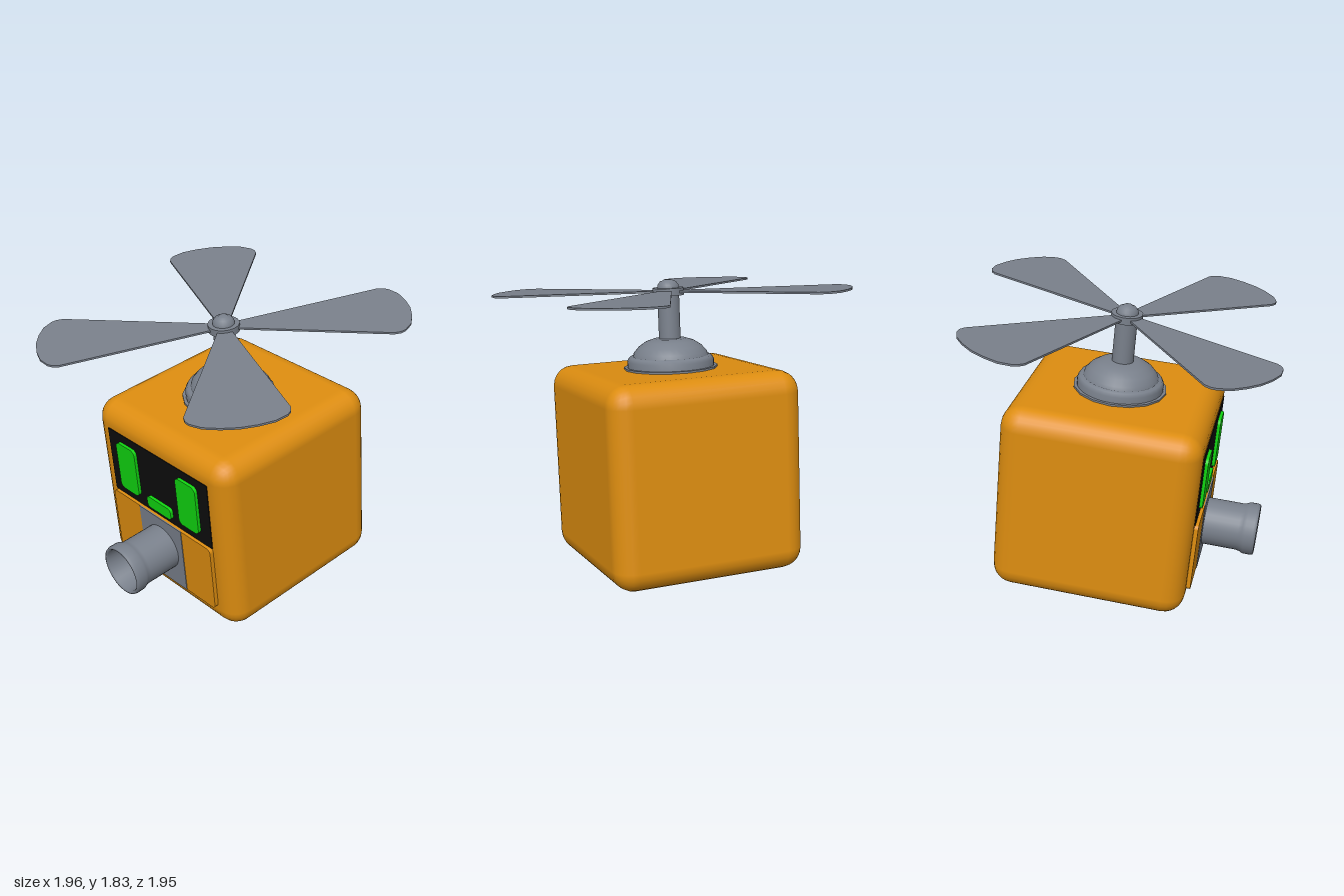
import * as THREE from 'three';
import { RoundedBoxGeometry } from 'three/addons/geometries/RoundedBoxGeometry.js';

const material = (name, color) => {
  const m = new THREE.MeshStandardMaterial({ color });
  m.name = name;
  return m;
};

export function createModel() {
  const orange = material('orange', 0xdd8d10);
  const grey = material('grey', 0x79808b);
  const black = material('black', 0x0d0d0d);
  const green = material('green', 0x10d510);

  const model = new THREE.Group();
  model.name = 'flyingRobot';
  // everything leans forward around the centre of the body
  const lean = new THREE.Group();
  lean.name = 'leaningBody';
  lean.position.set(-0.012, 0.66, -0.105);
  lean.rotation.x = 0.095;
  model.add(lean);

  const add = (name, geometry, mat, parent = lean) => {
    const mesh = new THREE.Mesh(geometry, mat);
    mesh.name = name;
    parent.add(mesh);
    return mesh;
  };

  // rounded plate facing +z, from depth z0 to z1
  const plate = (name, cx, cy, w, h, r, z0, z1, mat) => {
    const x = w / 2, y = h / 2, s = new THREE.Shape();
    s.moveTo(-x + r, -y);
    s.lineTo(x - r, -y);
    s.absarc(x - r, -y + r, r, -Math.PI / 2, 0);
    s.absarc(x - r, y - r, r, 0, Math.PI / 2);
    s.absarc(-x + r, y - r, r, Math.PI / 2, Math.PI);
    s.absarc(-x + r, -y + r, r, Math.PI, Math.PI * 1.5);
    const g = new THREE.ExtrudeGeometry(s, { depth: z1 - z0, bevelEnabled: false, curveSegments: 5 });
    g.translate(cx, cy, z0);
    return add(name, g, mat);
  };

  const lathe = (points, segments) =>
    new THREE.LatheGeometry(points.map(([r, y]) => new THREE.Vector2(r, y)), segments);

  // body
  add('body', new RoundedBoxGeometry(1.22, 1.22, 1.22, 3, 0.13), orange);
  const hatch = add('bottomHatch', new THREE.BoxGeometry(0.55, 0.016, 0.55), orange);
  hatch.position.y = -0.61;

  // face screen
  plate('screen', 0, 0.23, 0.925, 0.46, 0.004, 0.606, 0.615, black);
  for (const side of [-1, 1]) {
    plate(side > 0 ? 'leftEye' : 'rightEye', side * 0.282, 0.235, 0.18, 0.34, 0.035, 0.614, 0.635, green);
  }
  plate('mouth', 0, 0.08, 0.225, 0.08, 0.025, 0.614, 0.635, green);

  // lower front panel with the nozzle plate
  plate('frontPanel', 0, -0.23, 0.925, 0.46, 0.03, 0.6, 0.636, orange);
  plate('nozzlePlate', 0, -0.23, 0.396, 0.46, 0.002, 0.632, 0.64, grey);

  // hollow nozzle
  const nozzle = lathe([
    [0.15, 0.62], [0.15, 0.86], [0.155, 0.885], [0.165, 0.905], [0.166, 0.955],
    [0.16, 0.972], [0.15, 0.975], [0.142, 0.965], [0.128, 0.84], [0.128, 0.84], [0, 0.84],
  ], 32);
  nozzle.rotateX(Math.PI / 2);
  add('nozzle', nozzle, grey).position.y = -0.215;

  // rotor mount
  add('mountFlange', new THREE.CylinderGeometry(0.29, 0.29, 0.02, 16), grey).position.y = 0.612;
  add('mountRing', lathe([[0.268, 0.6], [0.268, 0.66], [0.255, 0.682], [0.23, 0.688]], 32), grey);
  add('mountDome', lathe([
    [0.235, 0.68], [0.225, 0.71], [0.195, 0.745], [0.15, 0.775], [0.1, 0.792], [0, 0.797],
  ], 32), grey);
  add('shaft', new THREE.CylinderGeometry(0.067, 0.067, 0.34, 24), grey).position.y = 0.93;

  // rotor
  const rotor = new THREE.Group();
  rotor.name = 'rotor';
  rotor.position.y = 1.08;
  lean.add(rotor);
  add('hubDisc', new THREE.CylinderGeometry(0.096, 0.096, 0.045, 24), grey, rotor);
  add('hubCap', lathe([
    [0.067, 0.02], [0.065, 0.04], [0.05, 0.06], [0.028, 0.069], [0.026, 0.073], [0, 0.075],
  ], 24), grey, rotor);

  // half outline of a blade: distance from the hub, half width
  const half = [[0.05, 0.036], [0.97, 0.286], [1.01, 0.28], [1.04, 0.26], [1.085, 0.195], [1.11, 0.1]];
  const outline = [...half, [1.12, 0], ...half.map(([r, w]) => [r, -w]).reverse()];
  const bladeShape = new THREE.Shape(outline.map(([r, w]) => new THREE.Vector2(r, w)));
  const blade = new THREE.ExtrudeGeometry(bladeShape, { depth: 0.012, bevelEnabled: false });
  blade.translate(0, 0, -0.006);
  blade.rotateX(-Math.PI / 2);
  for (let i = 0; i < 4; i++) {
    add('blade' + (i + 1), blade, grey, rotor).rotation.y = THREE.MathUtils.degToRad(52 + i * 90);
  }

  return model;
}
